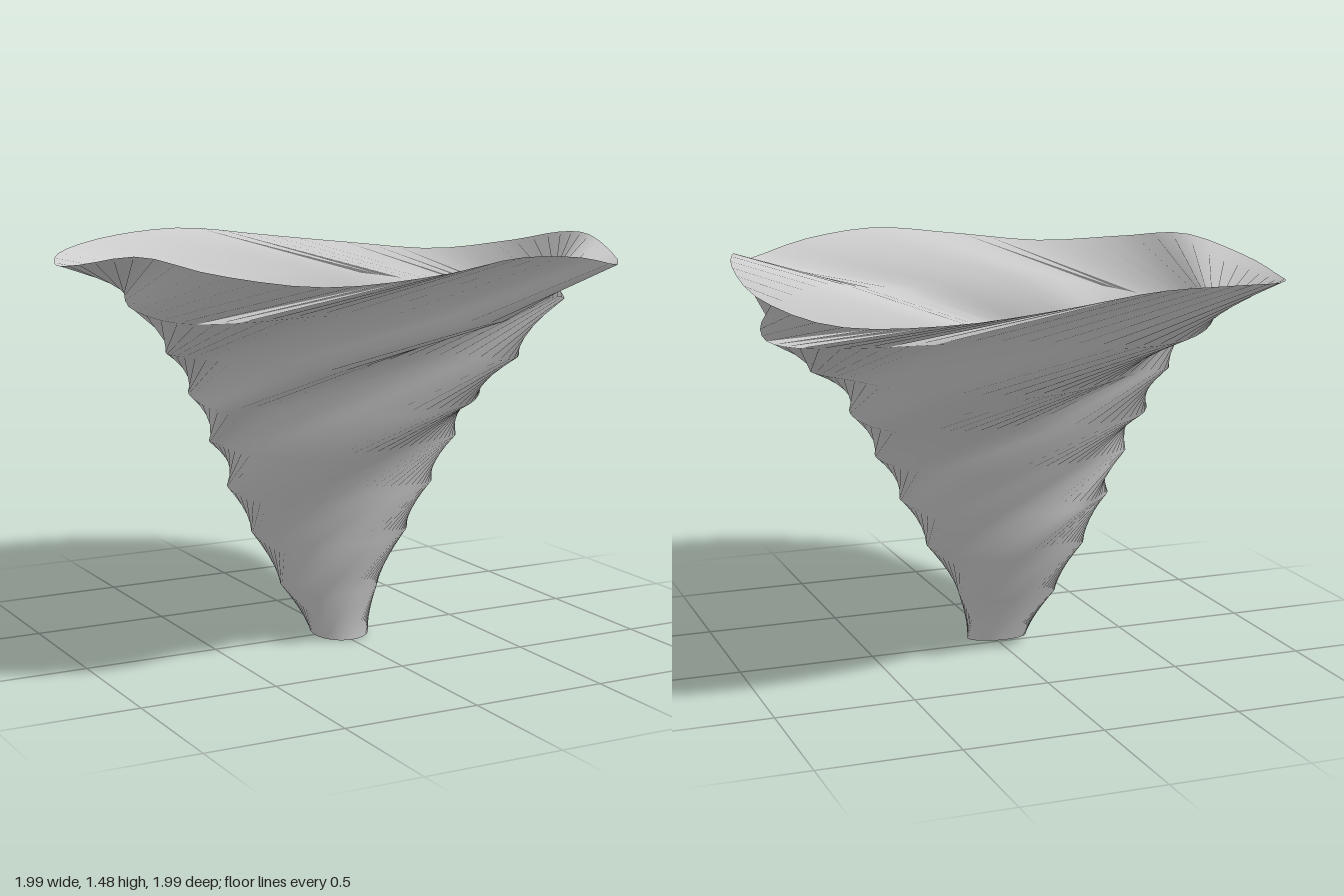
import * as THREE from 'three';

const SIDES = 60, TWIST = THREE.MathUtils.degToRad(40);

// Rings from foot to rim: height, radius in x and z, centre x and z.
// Each is turned against the one below, so the wall pinches in between them.
const rings = [
  [0.015, 0.112, 0.1, 0, 0.025], [0.2, 0.185, 0.172, -0.035, 0.01],
  [0.4, 0.295, 0.27, -0.015, -0.02], [0.58, 0.397, 0.325, -0.012, -0.025],
  [0.75, 0.465, 0.395, -0.005, -0.015], [0.915, 0.56, 0.49, 0, -0.02],
  [1.085, 0.645, 0.6, 0.03, -0.035], [1.265, 0.815, 0.8, 0.015, 0],
  [1.44, 1, 1, 0, 0],
];
const TOP = rings.length - 1;

// Wavy rim, one value every 20 degrees from +x towards +z
const rimRadius = [0.985, 0.96, 1.025, 0.975, 0.96, 1.0, 1.0, 1.0, 0.96,
  0.995, 1.015, 1.045, 1.02, 1.0, 1.01, 1.07, 1.065, 1.04];
const rimHeight = [1.47, 1.48, 1.41, 1.46, 1.48, 1.44, 1.41, 1.44, 1.48,
  1.43, 1.4, 1.42, 1.45, 1.46, 1.42, 1.38, 1.36, 1.41];

// Smooth periodic interpolation of a list around the circle
function around(list, phi) {
  const n = list.length, f = (phi / (2 * Math.PI)) * n, i = Math.floor(f), t = f - i;
  const [a, b, c, d] = [-1, 0, 1, 2].map((k) => list[(i + k + n) % n]);
  return b + 0.5 * t * (c - a + t * (2 * a - 5 * b + 4 * c - d + t * (3 * (b - c) + d - a)));
}

// Point on ring j of the column that ends at angle psi on the rim
function funnelPoint(j, psi) {
  const [height, rx, rz, cx, cz] = rings[j];
  const phi = psi + TWIST * (TOP - j), level = j / TOP;
  const swell = 1 + level * (around(rimRadius, psi) - 1);
  const tilt = -0.015 * (1 - level) ** 6 * Math.sin(phi);
  const wave = level ** 3 * (around(rimHeight, psi) - 1.44);
  return [cx + rx * swell * Math.cos(phi), height + tilt + wave, cz + rz * swell * Math.sin(phi)];
}

export function createModel() {
  const positions = [], index = [];
  for (let j = 0; j <= TOP; j++) {
    for (let i = 0; i < SIDES; i++) {
      positions.push(...funnelPoint(j, (i / SIDES) * 2 * Math.PI));
      if (j === TOP) continue;
      const a = j * SIDES + i, b = j * SIDES + ((i + 1) % SIDES);
      index.push(a, a + SIDES, b, b, a + SIDES, b + SIDES);
    }
  }
  const geometry = new THREE.BufferGeometry();
  geometry.setAttribute('position', new THREE.Float32BufferAttribute(positions, 3));
  geometry.setIndex(index);
  geometry.computeVertexNormals();

  // Open, thin-walled swirling funnel
  const funnel = new THREE.Mesh(geometry,
    new THREE.MeshStandardMaterial({ color: 0xcccccc, side: THREE.DoubleSide }));
  funnel.name = 'swirlingFunnel';

  const group = new THREE.Group();
  group.name = 'whirlwind';
  group.add(funnel);
  return group;
}
